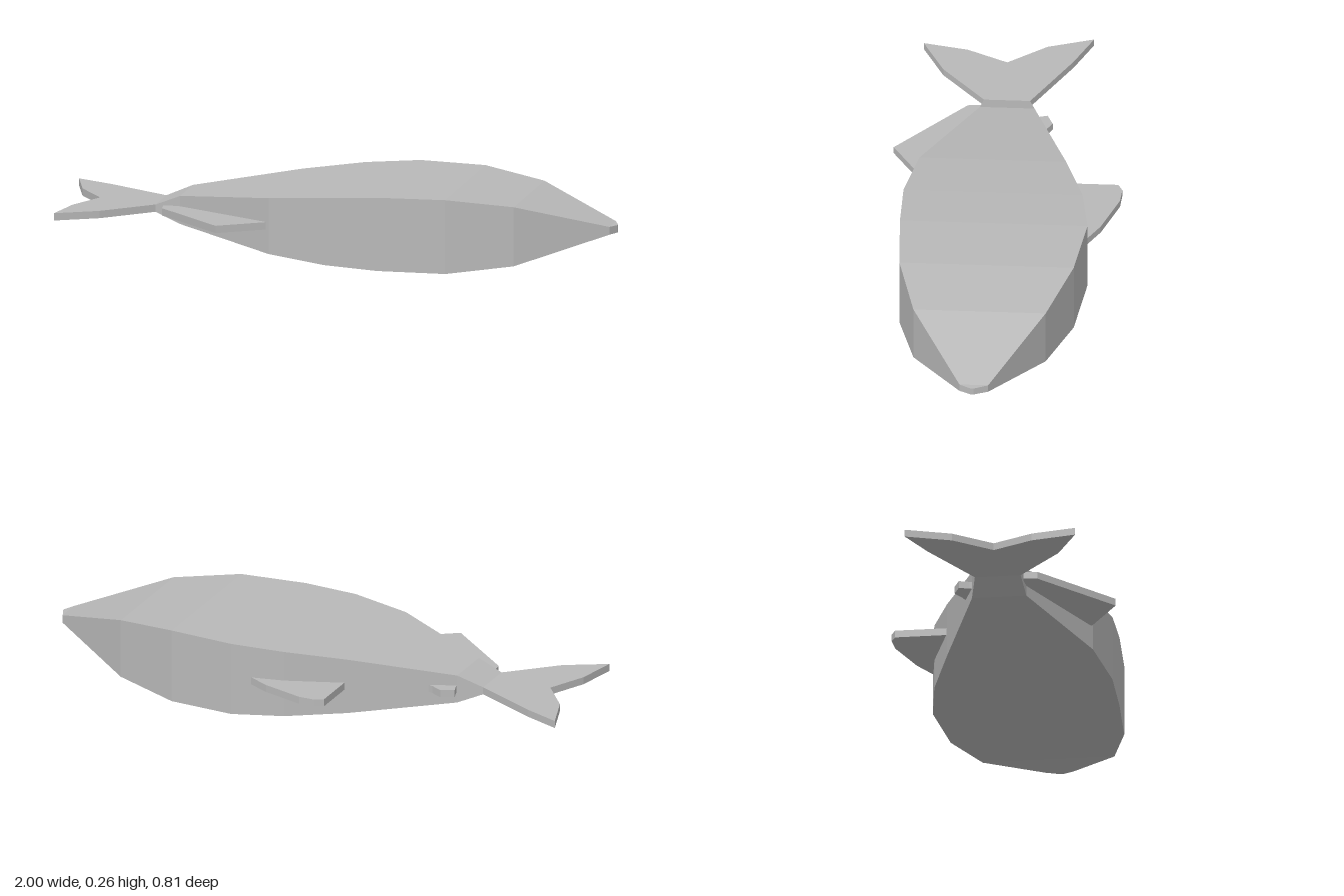
import * as THREE from 'three';

const MID = 0.131; // height of the middle plane of the fish lying on its side
const FIN = 0.026; // fin thickness

// Rectangular cross-sections from tail root to nose: x, back z, belly z, half thickness
const SECTIONS = [
  [-0.64, -0.06, 0.1, 0.013],
  [-0.55, -0.08, 0.11, 0.05],
  [-0.19, -0.208, 0.302, 0.099],
  [0.02, -0.275, 0.347, 0.119],
  [0.21, -0.302, 0.35, 0.13],
  [0.45, -0.266, 0.34, 0.131],
  [0.68, -0.18, 0.28, 0.105],
  [0.98, 0.005, 0.105, 0.014],
  [1.0, 0.055, 0.065, 0.013],
];

function bodyGeometry() {
  const positions = [];
  const corners = SECTIONS.map(([x, back, belly, h]) => [
    [x, MID + h, back], [x, MID + h, belly], [x, MID - h, belly], [x, MID - h, back],
  ]);
  const quad = (a, b, c, d) => positions.push(...a, ...b, ...c, ...a, ...c, ...d);
  for (let i = 0; i < corners.length - 1; i++) {
    const p = corners[i], q = corners[i + 1];
    for (let j = 0; j < 4; j++) {
      const k = (j + 1) % 4;
      quad(p[j], p[k], q[k], q[j]);
    }
  }
  // End caps
  const tail = corners[0], nose = corners[corners.length - 1];
  quad(tail[0], tail[3], tail[2], tail[1]);
  quad(nose[0], nose[1], nose[2], nose[3]);
  const geometry = new THREE.BufferGeometry();
  geometry.setAttribute('position', new THREE.Float32BufferAttribute(positions, 3));
  geometry.computeVertexNormals();
  return geometry;
}

// Flat plate from an outline of [x, z] points
function finGeometry(outline) {
  const shape = new THREE.Shape(outline.map(([x, z]) => new THREE.Vector2(x, z)));
  const geometry = new THREE.ExtrudeGeometry(shape, { depth: FIN, bevelEnabled: false });
  geometry.rotateX(Math.PI / 2);
  geometry.translate(0, MID + FIN / 2, 0);
  return geometry;
}

const FINS = {
  tailFin: [[-0.64, -0.06], [-0.87, -0.2], [-1, -0.265], [-0.95, -0.105], [-0.855, 0.03],
    [-0.92, 0.17], [-0.95, 0.325], [-0.805, 0.25], [-0.64, 0.1]],
  dorsalFin: [[-0.18, -0.18], [-0.18, -0.39], [-0.15, -0.405], [-0.09, -0.4],
    [0.06, -0.34], [0.14, -0.29], [0.1, -0.25]],
  smallBackFin: [[-0.54, -0.05], [-0.55, -0.09], [-0.56, -0.125], [-0.515, -0.145],
    [-0.475, -0.12], [-0.42, -0.1]],
  analFin: [[-0.61, 0.106], [-0.605, 0.155], [-0.355, 0.4], [-0.2, 0.3], [-0.25, 0.22], [-0.53, 0.1]],
};

export function createModel() {
  const grey = new THREE.MeshStandardMaterial({ color: 0xb8b8b8, flatShading: true });
  grey.name = 'fish grey';
  const fish = new THREE.Group();
  fish.name = 'fish';
  const add = (name, geometry) => {
    const mesh = new THREE.Mesh(geometry, grey);
    mesh.name = name;
    fish.add(mesh);
  };
  add('body', bodyGeometry());
  for (const [name, outline] of Object.entries(FINS)) add(name, finGeometry(outline));
  return fish;
}
